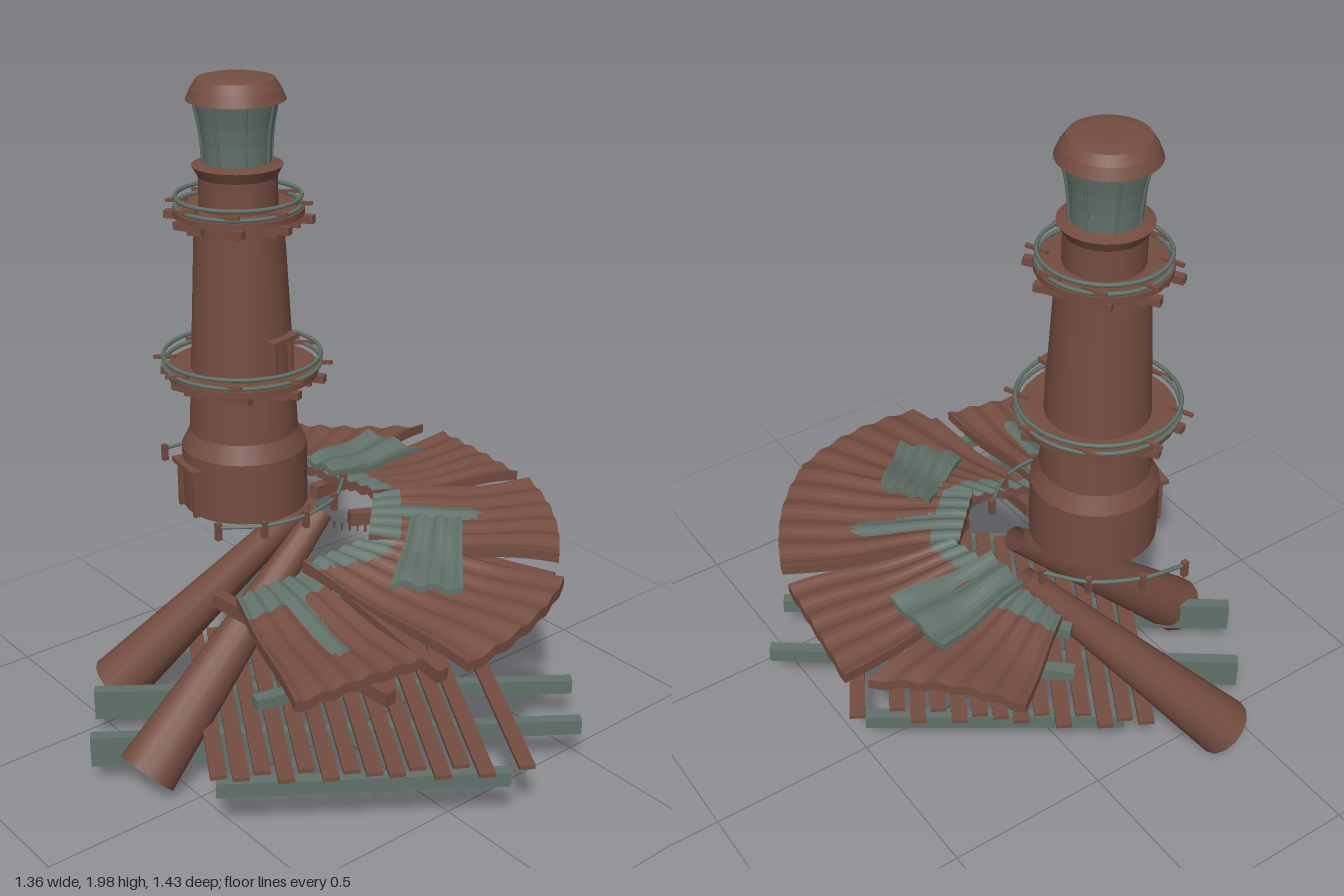
import * as THREE from 'three';

const V = (x, y, z) => new THREE.Vector3(x, y, z);
const brown = new THREE.MeshStandardMaterial({ color: 0x744c40, side: THREE.DoubleSide });
brown.name = 'rustBrown';
const green = new THREE.MeshStandardMaterial({ color: 0x61716a, side: THREE.DoubleSide });
green.name = 'weatheredGreen';

function add(parent, name, geo, mat, x = 0, y = 0, z = 0) {
  const m = new THREE.Mesh(geo, mat);
  m.name = name;
  m.position.set(x, y, z);
  parent.add(m);
  return m;
}

// Box running from a to b
function beam(parent, name, mat, a, b, w, h) {
  const m = add(parent, name, new THREE.BoxGeometry(w, h, a.distanceTo(b)), mat);
  m.position.copy(a).add(b).multiplyScalar(0.5);
  m.lookAt(b);
  return m;
}

// Crisp-edged round stack from [radius, y] rows
function stack(parent, name, mat, rows) {
  for (let i = 0; i < rows.length - 1; i++) {
    const [r0, y0] = rows[i], [r1, y1] = rows[i + 1];
    const geo = y0 === y1
      ? new THREE.RingGeometry(Math.min(r0, r1), Math.max(r0, r1), 28).rotateX(-Math.PI / 2)
      : new THREE.CylinderGeometry(r1, r0, y1 - y0, 28, 1, true);
    add(parent, name, geo, mat, 0, (y0 + y1) / 2, 0);
  }
}

function tube(parent, name, mat, pts, r) {
  return add(parent, name, new THREE.TubeGeometry(new THREE.CatmullRomCurve3(pts), 32, r, 6), mat);
}

// Balcony with deck, brackets and two rails
function balcony(parent, name, y, r, reach, railR, railY) {
  const g = new THREE.Group();
  g.name = name;
  parent.add(g);
  stack(g, 'balconyDeck', brown, [[0.12, y], [r, y], [r, y + 0.018], [0.1, y + 0.018]]);
  for (let i = 0; i < 8; i++) {
    const a = (i * Math.PI) / 4, c = Math.cos(a), s = Math.sin(a);
    beam(g, 'bracket', brown, V(c * 0.12, y - 0.01, s * 0.12), V(c * reach, y - 0.01, s * reach), 0.024, 0.022);
    beam(g, 'strut', brown, V(c * 0.13, y - 0.045, s * 0.13), V(c * r * 0.9, y - 0.015, s * r * 0.9), 0.014, 0.014);
    beam(g, 'railPost', brown, V(c * railR, y, s * railR), V(c * railR, railY + 0.012, s * railR + 0.0001), 0.01, 0.01);
  }
  for (const dy of [0, -0.025])
    add(g, 'railRing', new THREE.TorusGeometry(railR, 0.006, 6, 40).rotateX(Math.PI / 2), green, 0, railY + dy, 0);
}

// Warped boarded slab: corners are outerLeft, outerRight, innerRight, innerLeft
function slab(parent, name, c, { bulge = 0, boards = 10, wave = 0.005, thick = 0.03, paint }) {
  const geo = new THREE.BoxGeometry(1, 1, 1, boards * 3, 1, 24);
  const p = geo.attributes.position, P = c.map((q) => V(...q));
  const out = P[0].clone().add(P[1]).sub(P[2]).sub(P[3]).setY(0).normalize();
  const uv = [];
  for (let i = 0; i < p.count; i++) {
    const u = p.getX(i) + 0.5, t = 0.5 - p.getZ(i);
    uv.push([u, t]);
    const q = P[3].clone().lerp(P[2], u).lerp(P[0].clone().lerp(P[1], u), t);
    q.addScaledVector(out, bulge * 4 * u * (1 - u) * t);
    q.y += wave * Math.cos(u * boards * Math.PI) + 0.008 * Math.sin(t * 7 + u * 2);
    q.y += (p.getY(i) - 0.5) * thick;
    p.setXYZ(i, q.x, q.y, q.z);
  }
  // Sort triangles into bare and painted
  const idx = geo.index.array, top = geo.groups[2], bare = [], painted = [];
  for (let k = 0; k < idx.length; k += 3) {
    const tri = [idx[k], idx[k + 1], idx[k + 2]];
    const mean = (f) => (f(tri[0]) + f(tri[1]) + f(tri[2])) / 3;
    const isTop = k >= top.start && k < top.start + top.count;
    const hit = paint && isTop && paint(mean((i) => p.getX(i)), mean((i) => p.getZ(i)), mean((i) => uv[i][1]), mean((i) => uv[i][0]));
    (hit ? painted : bare).push(...tri);
  }
  geo.setIndex([...bare, ...painted]);
  geo.clearGroups();
  geo.addGroup(0, bare.length, 0);
  if (painted.length) geo.addGroup(bare.length, painted.length, 1);
  const flat = geo.toNonIndexed();
  flat.computeVertexNormals();
  add(parent, name, flat, [paint === undefined ? green : brown, green]);
}

// Distance test for rounded paint tongues
function near(x, z, [ax, az], [bx, bz], r) {
  const dx = bx - ax, dz = bz - az;
  const k = THREE.MathUtils.clamp(((x - ax) * dx + (z - az) * dz) / (dx * dx + dz * dz), 0, 1);
  return Math.hypot(x - ax - k * dx, z - az - k * dz) < r;
}

function buildTower(root) {
  const t = new THREE.Group();
  t.name = 'tower';
  t.position.set(-0.245, 0, 0.14);
  root.add(t);
  stack(t, 'towerBase', brown, [[0, 0.77], [0.18, 0.77], [0.18, 0.95], [0.155, 1.0]]);
  stack(t, 'towerShaft', brown, [[0.155, 1.0], [0.122, 1.63]]);
  balcony(t, 'lowerBalcony', 1.165, 0.215, 0.237, 0.222, 1.222);
  balcony(t, 'upperBalcony', 1.625, 0.18, 0.208, 0.172, 1.675);
  stack(t, 'lanternBase', brown, [[0.108, 1.64], [0.108, 1.73], [0.125, 1.76], [0.09, 1.77]]);
  stack(t, 'lanternGlass', green, [[0.092, 1.765], [0.094, 1.82], [0.1, 1.87], [0.113, 1.935]]);
  for (let i = 0; i < 8; i++) {
    const a = ((i + 0.5) * Math.PI) / 4, c = Math.cos(a), s = Math.sin(a);
    tube(t, 'lanternBar', green, [[0.096, 1.765], [0.098, 1.82], [0.104, 1.87], [0.117, 1.935]]
      .map(([r, y]) => V(c * r, y, s * r)), 0.004);
  }
  stack(t, 'cap', brown, [[0.1, 1.935], [0.135, 1.935], [0.122, 1.965], [0.105, 1.99], [0.07, 1.998], [0, 2.0]]);
  // Doors: ground one faces front, balcony one faces left
  for (const [y, h, r, turn, w] of [[0.77, 0.14, 0.178, -0.18, 0.1], [1.19, 0.1, 0.142, Math.PI / 2 + 0.25, 0.07]]) {
    const d = new THREE.Group();
    d.name = 'door';
    d.rotation.y = turn;
    t.add(d);
    add(d, 'doorPanel', new THREE.BoxGeometry(w, h, 0.02), brown, 0, y + h / 2, r - 0.012);
    for (const s of [-1, 1]) add(d, 'doorJamb', new THREE.BoxGeometry(0.012, h, 0.03), brown, (s * w) / 2, y + h / 2, r - 0.005);
    add(d, 'doorLintel', new THREE.BoxGeometry(w + 0.04, 0.014, 0.04), brown, 0, y + h, r);
  }
}

function buildDock(root) {
  const g = new THREE.Group();
  g.name = 'dock';
  root.add(g);
  // Two long stepped bearers and two short edge joists
  for (const [ax, az, bx, bz] of [[-0.465, 0.56, 0.4, -0.6], [-0.26, 0.7, 0.57, -0.46]]) {
    const a = V(ax, 0.152, az), b = V(bx, 0.152, bz), m = a.clone().lerp(b, 0.38);
    beam(g, 'bearer', green, a, b, 0.035, 0.046);
    beam(g, 'bearerFoot', green, a.clone().setY(0.128), m.setY(0.128), 0.036, 0.095);
  }
  beam(g, 'edgeJoist', green, V(0.18, 0.178, 0.57), V(0.65, 0.178, -0.09), 0.035, 0.045);
  beam(g, 'edgeJoist', green, V(-0.46, 0.178, 0.12), V(-0.03, 0.178, -0.51), 0.035, 0.045);
  for (let i = 0; i < 14; i++) {
    const s = i === 13 ? 0.43 : -0.42 + i * 0.061;
    const off = 0.025 * Math.sin(i * 2.7), x = 0.08 + 0.6 * s, z = 0.02 - 0.8 * s;
    const at = (k) => V(x + 0.86 * k, 0.206, z + 0.5 * k);
    beam(g, 'plank', brown, at(-0.42 + off), at(0.41 + off), 0.046, 0.013);
  }
}

function buildFan(root) {
  const g = new THREE.Group();
  g.name = 'fanPlatform';
  root.add(g);
  slab(g, 'fanPanel', [[-0.67, 0.715, -0.39], [-0.38, 0.73, -0.68], [-0.27, 0.75, -0.18], [-0.47, 0.735, -0.13]],
    { bulge: -0.03, paint: (x, z, t) => t < 0.2 });
  slab(g, 'fanPanel', [[-0.32, 0.715, -0.715], [0.065, 0.72, -0.67], [-0.06, 0.745, -0.21], [-0.27, 0.75, -0.17]],
    { paint: (x, z, t) => t < 0.14 });
  slab(g, 'fanPanel', [[0.13, 0.725, -0.655], [0.51, 0.705, -0.39], [0.11, 0.72, -0.03], [-0.07, 0.74, -0.2]],
    { bulge: 0.03, paint: (x, z, t) => t < 0.18 || near(x, z, [0.02, -0.14], [0.16, -0.37], 0.035) });
  slab(g, 'fanPanel', [[0.565, 0.665, -0.355], [0.67, 0.62, 0.11], [0.07, 0.68, 0.165], [0.1, 0.72, -0.04]],
    { bulge: 0.035, paint: (x, z, t, u) => t < 0.14 + 0.05 * Math.sin(u * 5) });
  slab(g, 'fanPanel', [[0.585, 0.625, 0.19], [0.525, 0.61, 0.56], [0.06, 0.65, 0.4], [0.08, 0.67, 0.19]],
    { paint: (x, z, t) => t < 0.2 || near(x, z, [0.14, 0.28], [0.41, 0.325], 0.026) });
  // Loose green board sheets
  slab(g, 'looseBoards', [[-0.41, 0.755, -0.47], [-0.18, 0.765, -0.49], [-0.19, 0.77, -0.17], [-0.34, 0.77, -0.165]],
    { boards: 4, wave: 0.008, thick: 0.018 });
  slab(g, 'looseBoards', [[0.47, 0.69, -0.06], [0.31, 0.69, 0.06], [0.13, 0.75, -0.17], [0.25, 0.765, -0.26]],
    { boards: 5, wave: 0.008, thick: 0.018 });
  // Bent carrying beams
  const arcs = [
    [[-0.61, 0.675, -0.19], [-0.44, 0.68, -0.39], [-0.2, 0.685, -0.48], [0.05, 0.685, -0.46], [0.3, 0.66, -0.28], [0.46, 0.6, 0], [0.48, 0.575, 0.3], [0.41, 0.575, 0.6]],
    [[-0.5, 0.7, -0.12], [-0.36, 0.705, -0.24], [-0.12, 0.705, -0.29], [0.06, 0.69, -0.18], [0.17, 0.65, 0.02], [0.2, 0.615, 0.22], [0.15, 0.6, 0.42]]];
  for (const arc of arcs)
    for (let i = 0; i < arc.length - 1; i++) beam(g, 'bentBeam', green, V(...arc[i]), V(...arc[i + 1]), 0.035, 0.03);
  // Straight radial beams
  for (const [a, b] of [
    [[-0.07, 0.59, 0.37], [0.59, 0.555, 0.3]], [[-0.12, 0.66, -0.15], [0.03, 0.635, -0.54]],
    [[0.02, 0.65, 0.12], [0.62, 0.58, 0.15]], [[-0.28, 0.69, -0.14], [-0.35, 0.67, -0.55]],
    [[0.04, 0.68, -0.1], [0.52, 0.64, -0.36]]]) beam(g, 'radialBeam', brown, V(...a), V(...b), 0.035, 0.04);
  // Hanging row of pegs
  for (let i = 0; i < 14; i++) {
    const k = i / 13;
    add(g, 'peg', new THREE.BoxGeometry(0.005, 0.025, 0.005), brown, -0.23 + 0.15 * k, 0.6 - 0.03 * Math.sin(k * Math.PI), -0.15 - 0.28 * k);
  }
}

function buildRails(root) {
  const g = new THREE.Group();
  g.name = 'brokenRails';
  root.add(g);
  const left = [V(-0.575, 0.83, 0.2), V(-0.555, 0.835, 0.07), V(-0.49, 0.84, -0.06), V(-0.39, 0.84, -0.14)];
  const right = [-0.9, -0.45, 0, 0.45, 0.9].map((a) => V(-0.245 + 0.285 * Math.cos(a), 0.82 - 0.012 * a, 0.14 + 0.285 * Math.sin(a)));
  for (const pts of [left, right]) {
    tube(g, 'rail', green, pts, 0.006);
    pts.forEach((p) => add(g, 'railPost', new THREE.BoxGeometry(0.016, 0.05, 0.016), brown, p.x, p.y - 0.012, p.z));
  }
}

export function createModel() {
  const root = new THREE.Group();
  root.name = 'ruinedLighthouse';
  buildTower(root);
  buildDock(root);
  buildFan(root);
  buildRails(root);
  // Tapered hollow legs
  for (const [a, b] of [[V(-0.59, 0.08, 0.405), V(-0.25, 0.69, -0.1)], [V(-0.1, 0.095, 0.615), V(-0.12, 0.715, -0.04)]]) {
    const leg = add(root, 'leg', new THREE.CylinderGeometry(0.036, 0.09, a.distanceTo(b), 14, 1, true), brown);
    leg.position.copy(a).add(b).multiplyScalar(0.5);
    leg.quaternion.setFromUnitVectors(V(0, 1, 0), b.clone().sub(a).normalize());
  }
  return root;
}
